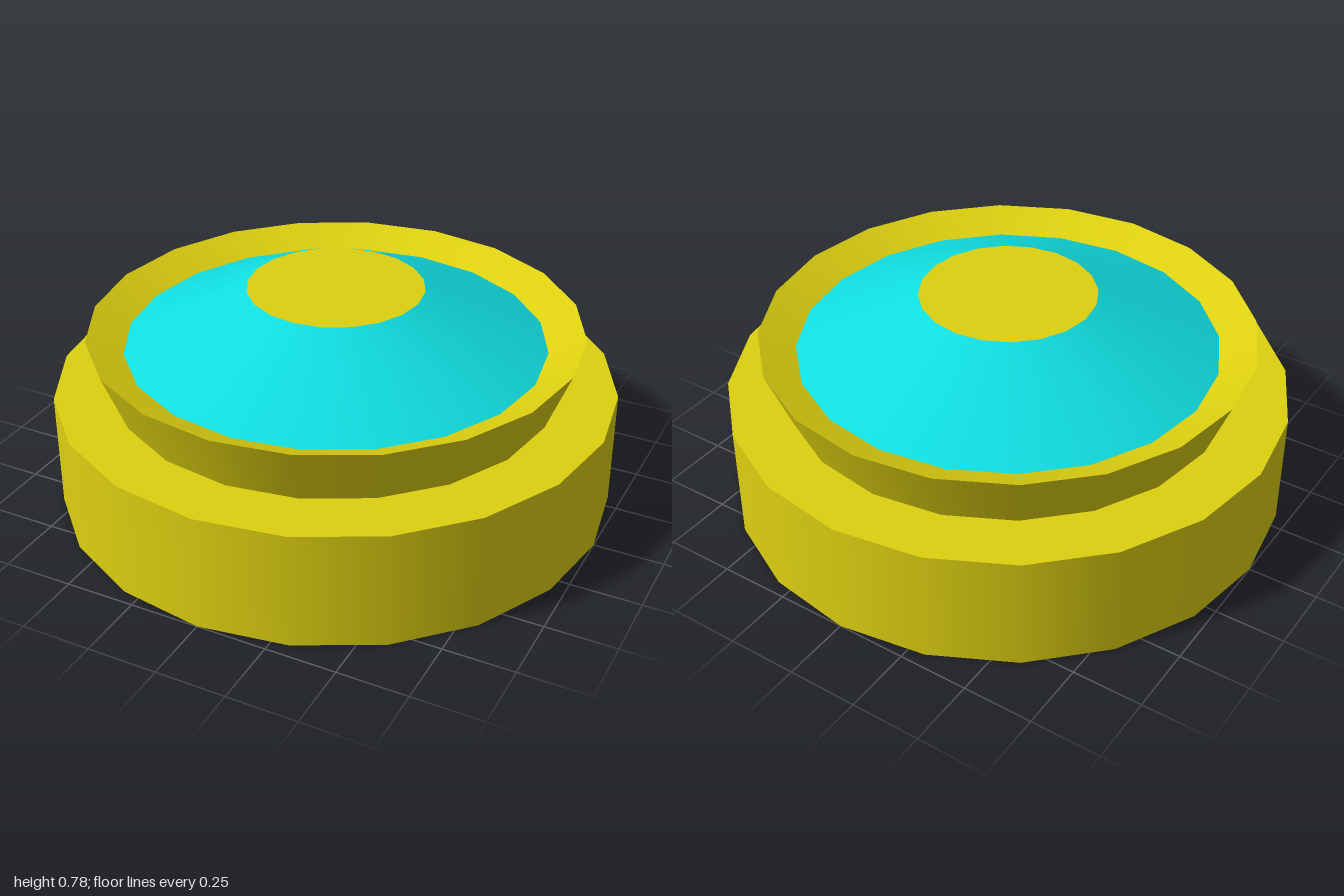
import * as THREE from 'three';

const SIDES = 20;

export function createModel() {
  const model = new THREE.Group();
  const yellow = new THREE.MeshStandardMaterial({ color: 0xddd010 });
  const cyan = new THREE.MeshStandardMaterial({ color: 0x10dde0 });

  const add = (name, geometry, material, y = 0) => {
    const mesh = new THREE.Mesh(geometry, material);
    mesh.name = name;
    mesh.position.y = y;
    model.add(mesh);
  };
  // One conical band between two [radius, height] points, smooth around, crisp at its edges
  const band = (from, to) =>
    new THREE.LatheGeometry([new THREE.Vector2(...from), new THREE.Vector2(...to)], SIDES);

  // Base drum
  add('base', new THREE.CylinderGeometry(1, 1, 0.42, SIDES), yellow, 0.21);

  // Flared collar with a rim sloping inward to the dome
  add('collar', band([0.79, 0.42], [0.875, 0.635]), yellow);
  add('innerRim', band([0.875, 0.635], [0.747, 0.575]), yellow);

  // Sloped button and its flat top
  add('buttonSlope', band([0.747, 0.575], [0.312, 0.78]), cyan);
  add('buttonTop', new THREE.CircleGeometry(0.312, SIDES).rotateX(-Math.PI / 2), yellow, 0.78);

  return model;
}
